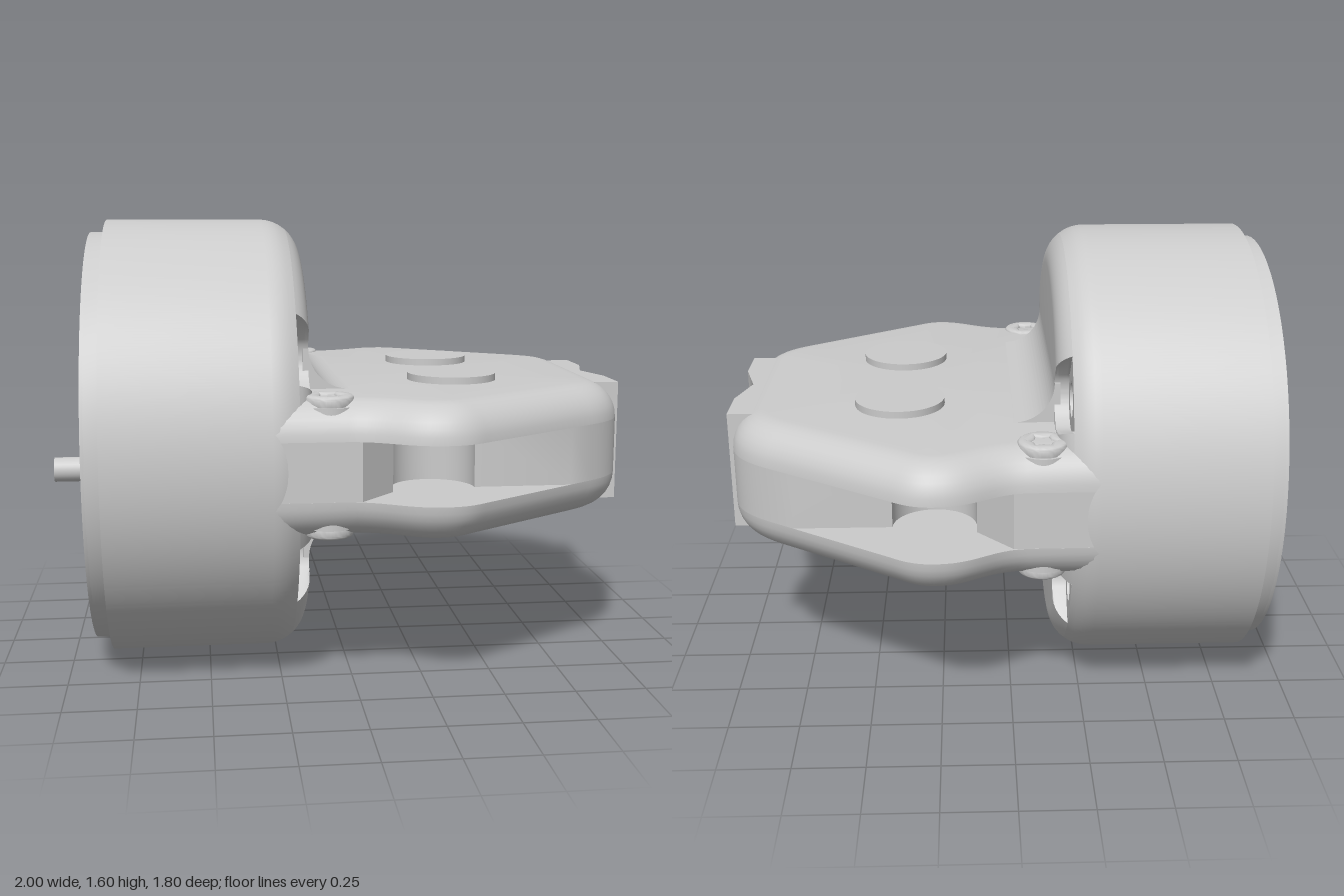
import * as THREE from 'three';
import { toCreasedNormals } from 'three/addons/utils/BufferGeometryUtils.js';

const MID = 0.8; // height of the main axis
const HOLE = { z: 0.575, y: 0.345, bore: 0.06, pocket: 0.108 };
const mat = new THREE.MeshStandardMaterial({ color: 0xcccccc });
const matDouble = new THREE.MeshStandardMaterial({ color: 0xcccccc, side: THREE.DoubleSide });

function mesh(parent, name, geo, x = 0, y = 0, z = 0, material = mat) {
  const m = new THREE.Mesh(geo, material);
  m.name = name;
  m.position.set(x, y, z);
  parent.add(m);
  return m;
}

// Closed rings of equal length joined into a skin
function loft(rings) {
  const n = rings[0].length, index = [];
  for (let k = 0; k < rings.length - 1; k++)
    for (let i = 0; i < n; i++) {
      const a = k * n + i, b = k * n + (i + 1) % n;
      index.push(a, b, b + n, a, b + n, a + n);
    }
  const g = new THREE.BufferGeometry();
  g.setAttribute('position', new THREE.Float32BufferAttribute(rings.flat(2), 3));
  g.setIndex(index);
  return toCreasedNormals(g, 0.6);
}

function circle(x, y, r) {
  return new THREE.Path().absarc(x, y, r, 0, Math.PI * 2, false);
}

function disc(r) {
  const s = new THREE.Shape();
  s.absarc(0, 0, r, 0, Math.PI * 2, false);
  return s;
}

// Extrusions along x (shape drawn in z, y) and along y (shape drawn in x, z)
const extrude = (shape, depth) => toCreasedNormals(
  new THREE.ExtrudeGeometry(shape, { depth, bevelEnabled: false, curveSegments: 40 }), 0.6);
const alongX = (shape, depth) => extrude(shape, depth).rotateY(Math.PI / 2);
const alongY = (shape, depth) => extrude(shape, depth).rotateX(Math.PI / 2).translate(0, depth, 0);

// Outline in x, z mirrored over z = 0; the half ends on the centre line
function mirrored(path) {
  const half = path.getPoints(12);
  return half.concat(half.slice(0, -1).reverse().map(p => new THREE.Vector2(p.x, -p.y)));
}

function inset(pts, d) {
  const n = pts.length;
  return pts.map((p, i) => {
    const a = p.clone().sub(pts[(i + n - 1) % n]).normalize();
    const b = pts[(i + 1) % n].clone().sub(p).normalize();
    const t = a.add(b).normalize();
    return new THREE.Vector2(p.x + t.y * d, p.y - t.x * d);
  });
}

const corners = [[1, 1], [1, -1], [-1, 1], [-1, -1]];

// Screw head facing +z with a star or hex socket
function screw(name, r, socket, points, inner, depth) {
  const g = new THREE.Group();
  g.name = name;
  const head = disc(r), hole = [];
  for (let i = 0; i < points; i++) {
    const a = -i / points * Math.PI * 2, q = i % 2 ? inner : socket;
    hole.push(new THREE.Vector2(Math.cos(a) * q, Math.sin(a) * q));
  }
  head.holes.push(new THREE.Path(hole));
  const b = depth * 0.4;
  mesh(g, 'screwHead', toCreasedNormals(new THREE.ExtrudeGeometry(head, {
    depth: depth - b, bevelSize: b, bevelThickness: b, bevelOffset: -b, bevelSegments: 4, curveSegments: 20,
  }), 0.6));
  mesh(g, 'socketFloor', new THREE.CircleGeometry(r * 0.9, 24), 0, 0, 0.004);
  return g;
}

function housing(root) {
  const g = new THREE.Group();
  g.name = 'housing';
  root.add(g);
  const R = 0.8, F = 0.14, front = -0.15, floorX = -0.2, N = 480;
  const radius = x => x < front - F ? R : R - F + Math.sqrt(Math.max(0, F * F - (x - front + F) ** 2));
  const dist = Math.hypot(HOLE.z, HOLE.y), angle = Math.atan2(HOLE.y, HOLE.z);
  const half = Math.asin(HOLE.pocket / dist);
  const near = d => dist * Math.cos(d) - Math.sqrt(Math.max(0, HOLE.pocket ** 2 - (dist * Math.sin(d)) ** 2));
  const ring = (x, notch, scale = 1) => Array.from({ length: N }, (_, i) => {
    const t = i / N * Math.PI * 2;
    const d = Math.atan2(Math.abs(Math.sin(t)), Math.abs(Math.cos(t))) - angle;
    let r = radius(x);
    if (notch && Math.abs(d) < half) r = Math.min(r, near(d));
    return [x, MID - Math.sin(t) * r * scale, Math.cos(t) * r * scale];
  });
  const rear = [ring(-0.85, false), ring(front - F, false)], nose = [];
  for (let i = 1; i <= 4; i++) rear.push(ring(front - F + (floorX - front + F) * i / 4, false));
  for (let i = 0; i <= 8; i++) nose.push(ring(front - (front - floorX) * (1 - Math.sin(i / 8 * Math.PI / 2)), true));
  nose.push(ring(front, true, 0));
  mesh(g, 'housingSide', loft(rear));
  mesh(g, 'housingNose', loft(nose));

  // Through bores and the floors of their front pockets
  for (const [sz, sy] of corners) {
    const pts = [], outer = [];
    for (let i = 0; i <= 24; i++) {
      const d = half * (i / 12 - 1), t = angle + d;
      const at = r => new THREE.Vector2(sz * Math.cos(t) * r, sy * Math.sin(t) * r);
      pts.push(at(near(d)));
      outer.unshift(at(radius(floorX)));
    }
    const floor = new THREE.Shape(pts.concat(outer));
    floor.holes.push(circle(sz * HOLE.z, sy * HOLE.y, HOLE.bore));
    mesh(g, 'pocketFloor', new THREE.ShapeGeometry(floor, 40).rotateY(Math.PI / 2), floorX, MID, 0, matDouble);
    mesh(g, 'bore', new THREE.CylinderGeometry(HOLE.bore, HOLE.bore, 0.7, 40, 1, true).rotateZ(Math.PI / 2),
      -0.55, MID + sy * HOLE.y, sz * HOLE.z, matDouble);
  }

  // Back step, rim plate and cover
  const step = disc(R), plate = disc(0.755);
  for (const s of [step, plate])
    for (const [sz, sy] of corners) s.holes.push(circle(sz * HOLE.z, sy * HOLE.y, HOLE.bore));
  mesh(g, 'backStep', alongX(step, 0.01), -0.85, MID);
  mesh(g, 'backPlate', alongX(plate, 0.05), -0.9, MID);
  const rim = disc(0.755);
  rim.holes.push(circle(0, 0, 0.735));
  mesh(g, 'backRim', alongX(rim, 0.012), -0.91, MID);
  const quarter = new THREE.Path();
  quarter.moveTo(0.625, 0);
  quarter.absarc(HOLE.z, HOLE.y, 0.1, -Math.PI / 3, -Math.PI * 1.5, true);
  quarter.absarc(0, 0, 0.727, 0.658, Math.PI / 2, false);
  const q = quarter.getPoints(16), flip = (list, x, y) => list.map(p => new THREE.Vector2(p.x * x, p.y * y));
  const top = q.concat(flip(q.slice(0, -1).reverse(), -1, 1));
  const cover = new THREE.Shape(top.concat(flip(top.slice(1, -1).reverse(), 1, -1)));
  mesh(g, 'backCover', alongX(cover, 0.012), -0.91, MID);
  mesh(g, 'locatingPin', new THREE.CylinderGeometry(0.04, 0.04, 0.12, 32).rotateZ(Math.PI / 2), -0.94, MID, 0.645);
}

// Upper half of everything on the arm; turned over for the lower half
function armHalf(name) {
  const g = new THREE.Group();
  g.name = name;
  const p = new THREE.Path();
  p.moveTo(-0.4, 0.79);
  p.lineTo(-0.05, 0.795);
  p.bezierCurveTo(0.08, 0.8, 0.12, 0.9, 0.26, 0.9);
  p.bezierCurveTo(0.34, 0.9, 0.38, 0.862, 0.42, 0.835);
  p.lineTo(0.84, 0.55);
  p.bezierCurveTo(0.94, 0.48, 0.985, 0.41, 0.985, 0.3);
  p.lineTo(0.985, 0);
  const pts = mirrored(p);
  const ring = (d, y) => inset(pts, d).map(v => [v.x, y, v.y]);
  const centre = y => pts.map(() => [0.3, y, 0]);
  const rings = [centre(0.1)];
  for (let i = 0; i <= 8; i++) {
    const a = i / 8 * Math.PI / 2;
    rings.push(ring(0.13 * (1 - Math.cos(a)), 0.1 + 0.13 * Math.sin(a)));
  }
  rings.push(centre(0.23));
  mesh(g, 'armPlate', loft(rings));

  // Concave blend between the plate and the housing face
  const blend = new THREE.Shape();
  blend.moveTo(-0.17, 0.22);
  blend.lineTo(-0.01, 0.22);
  blend.lineTo(-0.01, 0.23);
  blend.absarc(-0.01, 0.37, 0.14, -Math.PI / 2, -Math.PI, true);
  blend.lineTo(-0.17, 0.37);
  mesh(g, 'blend', extrude(blend, 0.96), 0, 0, -0.48);

  for (const s of [-1, 1]) {
    mesh(g, 'roundPad', new THREE.CylinderGeometry(0.16, 0.16, 0.05, 64), 0.39, 0.23, s * 0.27);
    mesh(g, 'screwSeat', new THREE.CylinderGeometry(0.095, 0.095, 0.1, 40), -0.1, 0.155, s * 0.67);
    const sc = screw('plateScrew', 0.085, 0.045, 12, 0.032, 0.035);
    sc.rotation.x = -Math.PI / 2;
    sc.position.set(-0.1, 0.205, s * 0.67);
    g.add(sc);
  }
  g.position.y = MID;
  return g;
}

function endBracket(root) {
  const g = new THREE.Group();
  g.name = 'endBracket';
  root.add(g);
  const y0 = 0.585, y1 = 1.017;
  const vee = [[0.91, 0.16], [1, 0.16], [0.955, 0], [1, -0.16], [0.91, -0.16]].map(p => new THREE.Vector2(...p));
  mesh(g, 'veeBlock', alongY(new THREE.Shape(vee), y1 - y0), 0, y0);
  for (const s of [-1, 1]) {
    const pad = new THREE.Shape([[-0.085, y0], [0.085, y0], [0.085, y1], [-0.085, y1]].map(p => new THREE.Vector2(...p)));
    for (const y of [0.675, 0.93]) {
      pad.holes.push(circle(0, y, 0.07));
      const sc = screw('bracketScrew', 0.06, 0.026, 6, 0.026, 0.035);
      sc.rotation.y = Math.PI / 2;
      sc.position.set(0.96, y, s * 0.245);
      g.add(sc);
      mesh(g, 'screwSeat', new THREE.CircleGeometry(0.071, 32).rotateY(Math.PI / 2), 0.96, y, s * 0.245, matDouble);
    }
    mesh(g, 'bracketPad', alongX(pad, 0.09), 0.91, 0, s * 0.245);
  }
}

export function createModel() {
  const root = new THREE.Group();
  root.name = 'toolHead';
  housing(root);

  // Core between the plates, leaving a side slot with a round bay
  const c = new THREE.Path();
  c.moveTo(-0.4, 0.79);
  c.lineTo(0, 0.795);
  c.lineTo(0.12, 0.66);
  c.absarc(0.265, 0.61, 0.145, Math.PI, Math.PI * 2, false);
  c.lineTo(0.75, 0.611);
  c.lineTo(0.84, 0.55);
  c.bezierCurveTo(0.94, 0.48, 0.985, 0.41, 0.985, 0.3);
  c.lineTo(0.985, 0);
  mesh(root, 'armCore', alongY(new THREE.Shape(mirrored(c)), 0.2), 0, MID - 0.1);

  const lower = armHalf('lowerArm');
  lower.rotation.x = Math.PI;
  root.add(armHalf('upperArm'), lower);
  endBracket(root);
  return root;
}
